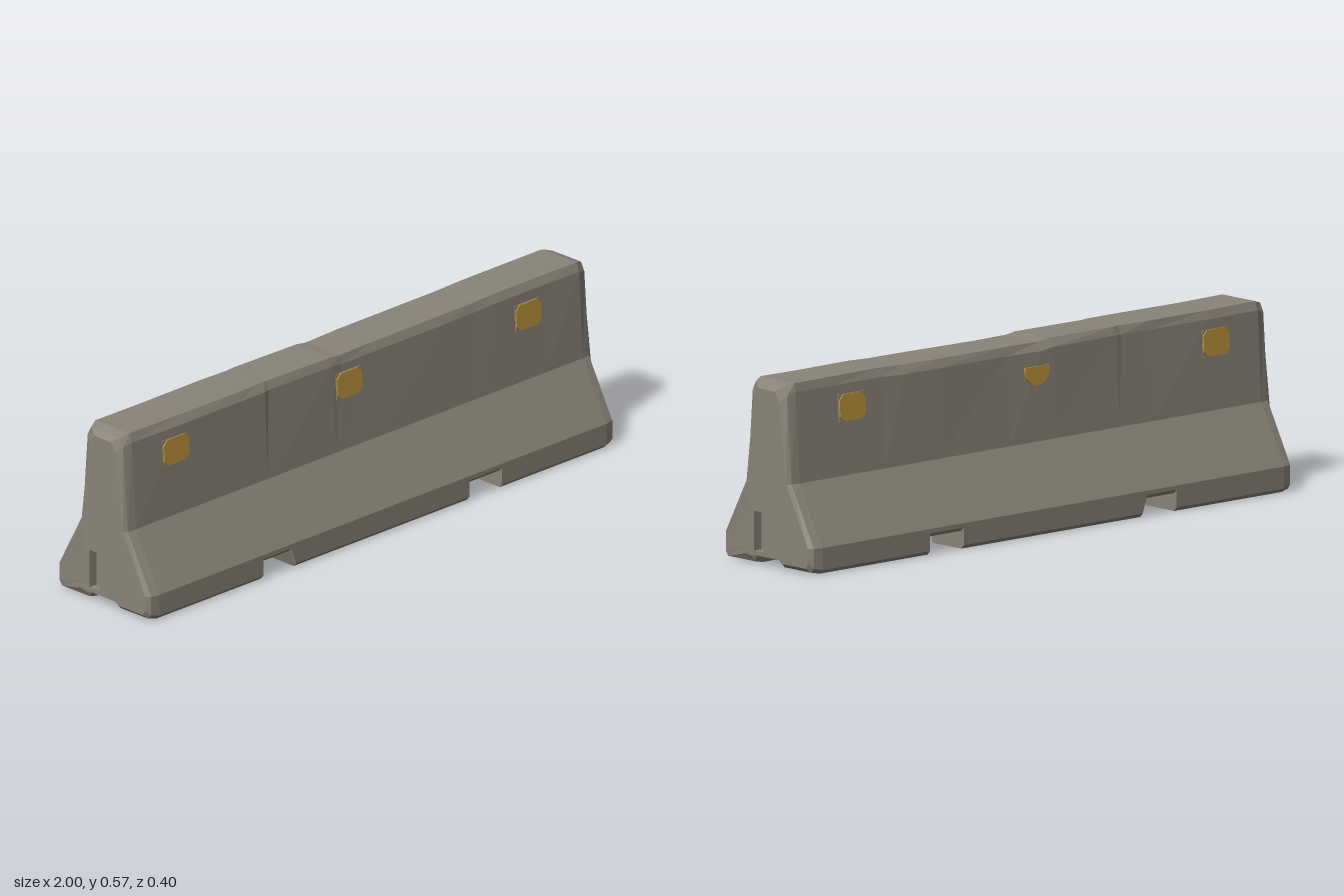
import * as THREE from 'three';

const concrete = new THREE.MeshStandardMaterial({ color: 0x8a8478, flatShading: true });
concrete.name = 'concrete';
const amber = new THREE.MeshStandardMaterial({ color: 0xbd943c, flatShading: true });
amber.name = 'amber reflector';

const add = (parent, geometry, material, name) => {
  const mesh = new THREE.Mesh(geometry, material);
  mesh.name = name;
  parent.add(mesh);
  return mesh;
};

// Small repeatable wobble for worn edges
let seed = 11;
const wobble = (a) => {
  seed = (seed * 16807) % 2147483647;
  return (seed / 2147483647 - 0.5) * 2 * a;
};

// Closed loop from half profiles [z, y], running along -z, over the top and down +z
const loop = (back, front = back) => [
  ...back.map(([z, y]) => [-z, y]),
  ...[...front].reverse(),
];

// Full cross-section: foot raised to g (notches), top lowered by drop
const fullHalf = (g, drop) => [
  [0.056, Math.max(0.024, g)], [0.064, g], [0.19, g], [0.201, g + 0.012],
  [0.201, 0.08], [0.1, 0.265], [0.084, 0.545 - drop], [0.073, 0.572 - drop],
];
// Rounded shoulder just before each end
const shoulder = [
  [0.056, 0.026], [0.066, 0.006], [0.185, 0.006], [0.196, 0.02],
  [0.196, 0.08], [0.096, 0.265], [0.076, 0.535], [0.062, 0.562],
];
// Flat end face, with a broken lower corner on one side
const endPlain = [
  [0.054, 0.028], [0.07, 0.018], [0.172, 0.018], [0.184, 0.035],
  [0.182, 0.08], [0.087, 0.265], [0.055, 0.515], [0.035, 0.545],
];
const endBroken = [
  [0.054, 0.028], [0.072, 0.024], [0.09, 0.03], [0.078, 0.06],
  [0.07, 0.16], [0.092, 0.235], [0.058, 0.515], [0.035, 0.545],
];
const END = 0.998;

function bodyGeometry() {
  // [x, foot height, top drop]
  const stations = [
    [-0.955, 0, 0], [-0.75, 0, 0.001], [-0.51, 0, 0], [-0.51, 0.055, 0],
    [-0.39, 0.055, 0], [-0.37, 0, 0], [-0.1, 0, 0], [-0.06, 0, 0.006],
    [0.08, 0, 0.005], [0.37, 0, 0.004], [0.37, 0.055, 0.004], [0.51, 0.055, 0.003],
    [0.51, 0, 0.003], [0.6, 0, 0], [0.8, 0, 0], [0.955, 0, 0],
  ];
  const rings = [{ x: -END, p: loop(endBroken, endPlain) }, { x: -0.985, p: loop(shoulder) }];
  let upper = [], lastX = null;
  for (const [x, g, drop] of stations) {
    // Sections sharing an x keep the same wear, so notch walls stay upright
    if (x !== lastX) upper = Array.from({ length: 16 }, () => wobble(0.003));
    lastX = x;
    const p = loop(fullHalf(g, drop)).map(([z, y], i) =>
      i > 5 && i < 10 ? [z + upper[i], y - Math.abs(upper[i]) * 0.5] : [z, y]);
    rings.push({ x, p });
  }
  rings.push({ x: 0.985, p: loop(shoulder) }, { x: END, p: loop(endPlain, endBroken) });

  const pos = [];
  for (let s = 0; s < rings.length - 1; s++) {
    const a = rings[s], b = rings[s + 1];
    for (let i = 0; i < 16; i++) {
      const j = (i + 1) % 16;
      const v = (r, k) => [r.x, r.p[k][1], r.p[k][0]];
      pos.push(...v(a, i), ...v(a, j), ...v(b, i), ...v(a, j), ...v(b, j), ...v(b, i));
    }
  }
  const geo = new THREE.BufferGeometry();
  geo.setAttribute('position', new THREE.Float32BufferAttribute(pos, 3));
  geo.computeVertexNormals();
  return geo;
}

// End face with a recessed connector pocket
function endFace(name) {
  const group = new THREE.Group();
  group.name = name;
  const shape = new THREE.Shape(loop(endPlain, endBroken).map(([z, y]) => new THREE.Vector2(-z, y)));
  const [z0, z1, y0, y1, depth] = [0.012, 0.056, 0.042, 0.165, 0.03];
  shape.holes.push(new THREE.Path([[-z0, y0], [-z0, y1], [-z1, y1], [-z1, y0]]
    .map(([x, y]) => new THREE.Vector2(x, y))));
  const cap = new THREE.ShapeGeometry(shape).rotateY(Math.PI / 2).translate(END, 0, 0);
  add(group, cap, concrete, 'endCap');
  // Inside-out box forms the pocket walls
  const pocket = new THREE.BoxGeometry(depth, y1 - y0, z1 - z0).scale(-1, 1, 1);
  pocket.translate(END - depth / 2, (y0 + y1) / 2, (z0 + z1) / 2);
  add(group, pocket, concrete, 'connectorPocket');
  return group;
}

const plate = (points, depth) => new THREE.ExtrudeGeometry(
  new THREE.Shape(points.map(([x, y]) => new THREE.Vector2(x, y))), { depth, bevelEnabled: false });

// Reflector: mounting plate with a cut-corner lens, or a broken lower half
function reflector(x, broken) {
  const group = new THREE.Group();
  group.name = 'reflector';
  if (broken) {
    const half = Array.from({ length: 11 }, (_, i) => {
      const t = Math.PI * (0.93 + 1.14 * i / 10);
      return [0.05 * Math.cos(t), 0.012 + 0.048 * Math.sin(t)];
    });
    add(group, plate(half, 0.006), amber, 'brokenLens');
  } else {
    add(group, new THREE.BoxGeometry(0.108, 0.084, 0.006), concrete, 'mountingPlate');
    const [w, h, c] = [0.053, 0.041, 0.016];
    const lens = [[-w + c, -h], [w - c, -h], [w, -h + c], [w, h - c],
      [w - c, h], [-w + c, h], [-w, h - c], [-w, -h + c]];
    add(group, plate(lens, 0.007), amber, 'lens');
  }
  group.position.set(x, 0.472, 0.088);
  group.rotation.x = -0.058;
  return group;
}

export function createModel() {
  const model = new THREE.Group();
  model.name = 'roadBarrier';
  add(model, bodyGeometry(), concrete, 'barrierBody');

  // Matching end faces, turned half round
  const leftEnd = endFace('leftEnd');
  const rightEnd = endFace('rightEnd');
  rightEnd.rotation.y = Math.PI;
  model.add(leftEnd, rightEnd);

  // Three reflectors on each long side
  const front = new THREE.Group(), back = new THREE.Group();
  front.name = 'frontReflectors';
  back.name = 'backReflectors';
  back.rotation.y = Math.PI;
  for (const x of [-0.775, -0.035, 0.73]) {
    front.add(reflector(x, false));
    back.add(reflector(-x, x === -0.035));
  }
  model.add(front, back);
  return model;
}
